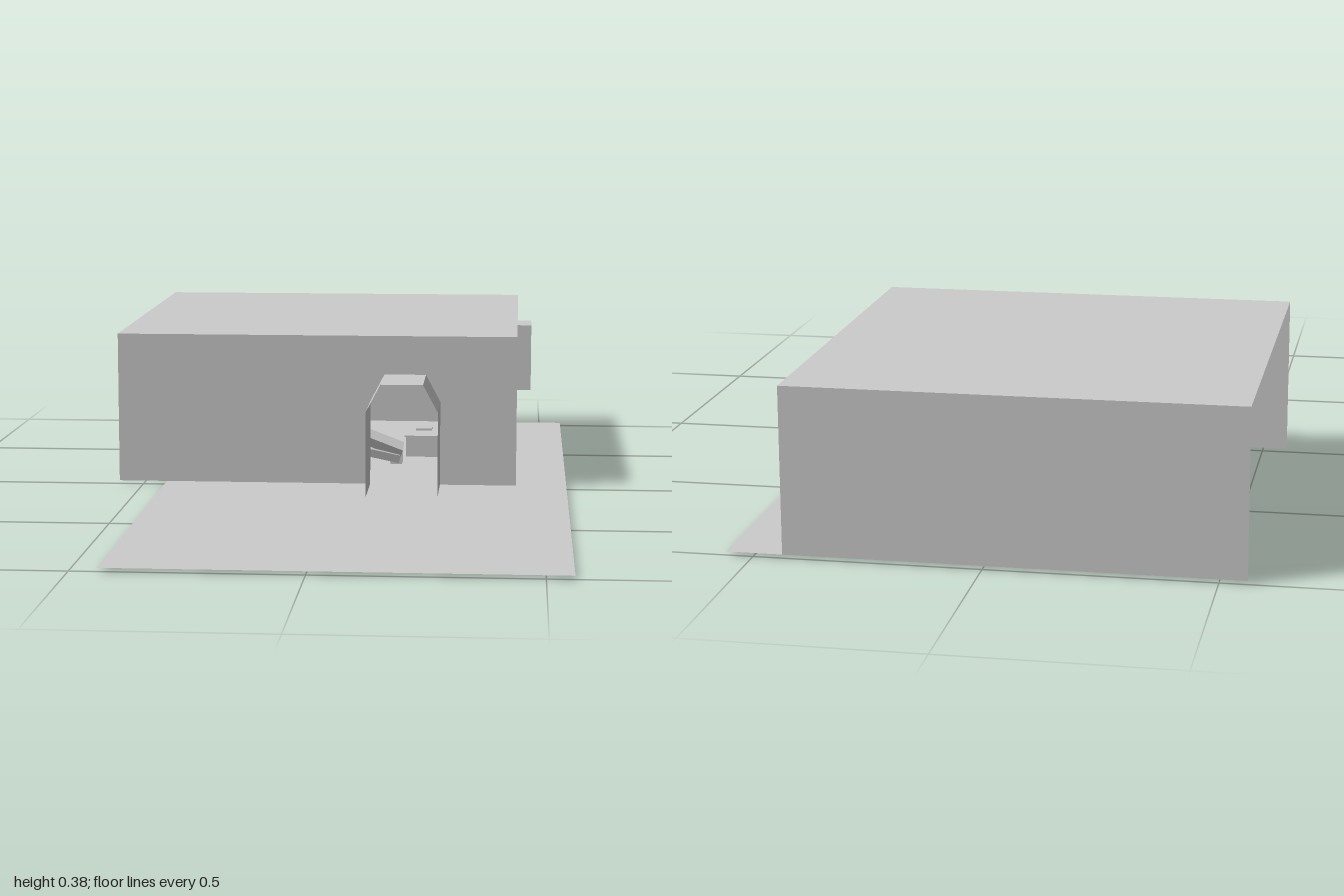
import * as THREE from 'three';

const grey = new THREE.MeshStandardMaterial({ color: 0xcccccc, side: THREE.DoubleSide });
grey.name = 'plain grey';

const FLOOR = 0.008, ROOF = 0.38;
const X0 = -0.56, X1 = 0.435, BACK = -1, FRONT = 0;

// Doorway outline, shared by the wall opening and the porch
const ARCH = [[0.072, FLOOR], [0.072, 0.217], [0.107, 0.284], [0.21, 0.284], [0.246, 0.217], [0.246, FLOOR]];

function add(parent, name, geometry, pos = [0, 0, 0], rot = [0, 0, 0]) {
  const mesh = new THREE.Mesh(geometry, grey);
  mesh.name = name;
  mesh.position.set(...pos);
  mesh.rotation.set(...rot);
  parent.add(mesh);
  return mesh;
}

// Box from its low and high corners
function addBox(parent, name, lo, hi) {
  const size = hi.map((v, i) => v - lo[i]);
  return add(parent, name, new THREE.BoxGeometry(...size), hi.map((v, i) => (v + lo[i]) / 2));
}

// Straight sheet swept along z from a profile of x, y points
function sweep(profile, z0, z1) {
  const pos = [];
  for (let i = 0; i < profile.length - 1; i++) {
    const [ax, ay] = profile[i], [bx, by] = profile[i + 1];
    pos.push(ax, ay, z0, ax, ay, z1, bx, by, z1, ax, ay, z0, bx, by, z1, bx, by, z0);
  }
  const g = new THREE.BufferGeometry();
  g.setAttribute('position', new THREE.Float32BufferAttribute(pos, 3));
  g.computeVertexNormals();
  return g;
}

export function createModel() {
  const model = new THREE.Group();
  model.name = 'hut';

  // Ground sheet
  add(model, 'ground', new THREE.PlaneGeometry(1, 2), [0.06, FLOOR, 0], [-Math.PI / 2, 0, 0]);

  // House shell: thin walls, open on its -x side
  const house = new THREE.Group();
  house.name = 'house';
  model.add(house);
  const w = X1 - X0, h = ROOF - FLOOR, d = FRONT - BACK;
  const cx = (X0 + X1) / 2, cy = (ROOF + FLOOR) / 2, cz = (FRONT + BACK) / 2;
  add(house, 'roof', new THREE.PlaneGeometry(w, d), [cx, ROOF, cz], [-Math.PI / 2, 0, 0]);
  add(house, 'backWall', new THREE.PlaneGeometry(w, h), [cx, cy, BACK], [0, Math.PI, 0]);
  add(house, 'sideWall', new THREE.PlaneGeometry(d, h), [X1, cy, cz], [0, Math.PI / 2, 0]);

  // Front wall outlined around the doorway
  const outline = [[X0, FLOOR], ...ARCH, [X1, FLOOR], [X1, ROOF], [X0, ROOF]];
  const wall = new THREE.Shape(outline.map(([x, y]) => new THREE.Vector2(x, y)));
  add(house, 'frontWall', new THREE.ShapeGeometry(wall), [0, 0, FRONT]);

  // Porch tunnel and side window box
  add(model, 'porch', sweep(ARCH, FRONT, 0.18));
  addBox(model, 'windowBox', [X1, 0.14, -0.865], [0.473, 0.322, -0.745]);

  // Low bench with a small plate on it
  const bench = new THREE.Group();
  bench.name = 'bench';
  model.add(bench);
  addBox(bench, 'benchBody', [0.142, FLOOR, -0.6], [0.3, 0.062, -0.4]);
  addBox(bench, 'benchTop', [0.138, 0.062, -0.61], [0.304, 0.066, -0.39]);
  addBox(bench, 'plate', [0.165, 0.066, -0.54], [0.208, 0.071, -0.48]);

  // Leaning logs
  const logs = new THREE.Group();
  logs.name = 'logs';
  model.add(logs);
  add(logs, 'upperLog', new THREE.BoxGeometry(0.1, 0.024, 0.05), [0.09, 0.06, -0.3], [0.3, 0, -0.4]);
  add(logs, 'lowerLog', new THREE.BoxGeometry(0.09, 0.02, 0.04), [0.085, 0.035, -0.27], [0, 0.3, -0.25]);
  add(logs, 'shortPost', new THREE.BoxGeometry(0.03, 0.036, 0.03), [0.122, 0.026, -0.3]);

  // Small feet poking through the ground
  addBox(model, 'largeFoot', [-0.018, 0, -0.32], [0.034, 0.03, -0.28]);
  addBox(model, 'smallFoot', [0.384, 0.004, -0.055], [0.412, 0.03, -0.025]);

  return model;
}
